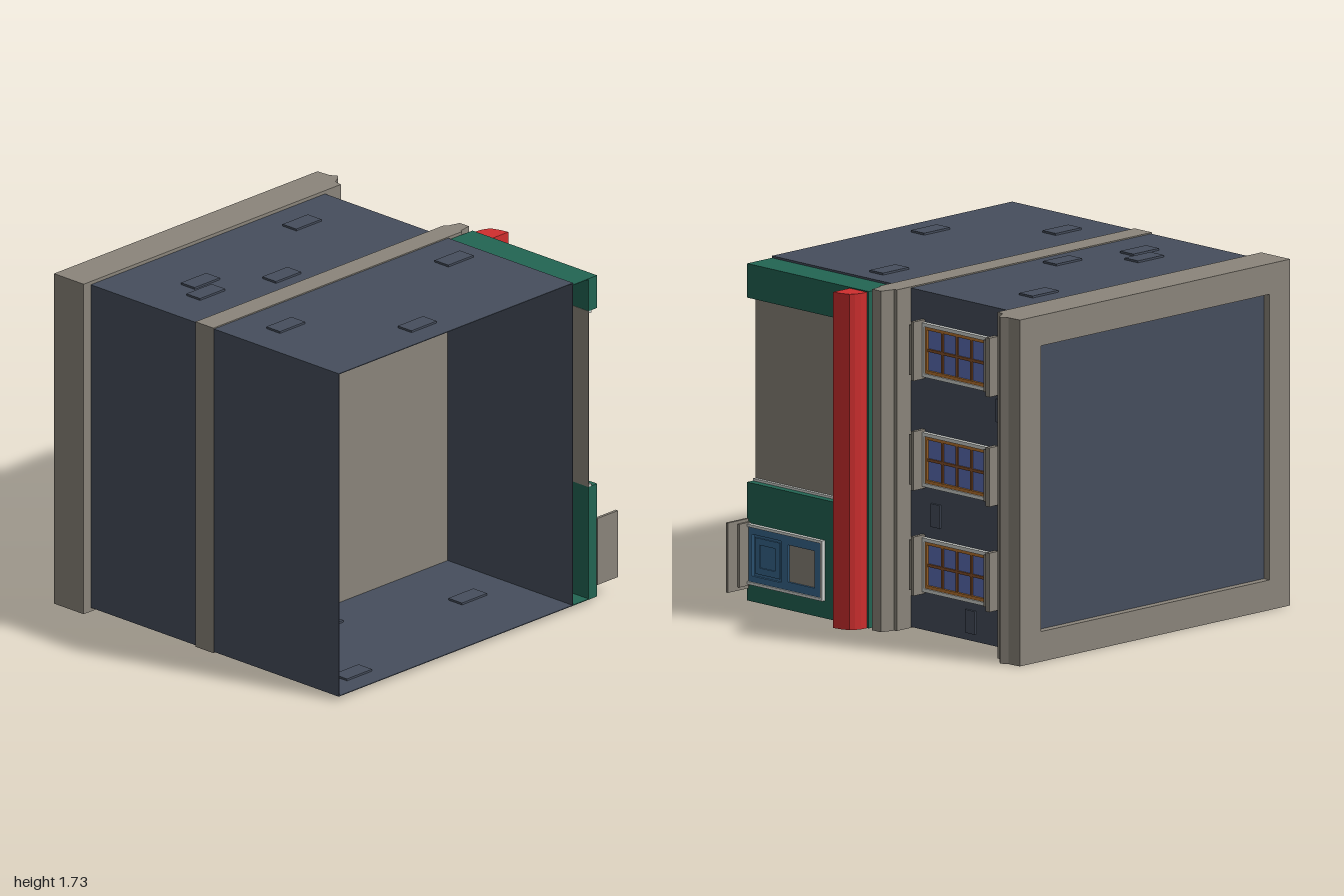
import * as THREE from 'three';

const mat = (name, color) => {
  const m = new THREE.MeshStandardMaterial({ color, side: THREE.DoubleSide });
  m.name = name;
  return m;
};

export function createModel() {
  const stone = mat('stone', 0x8b857b), slate = mat('slate', 0x464e5d), green = mat('shop green', 0x226553);
  const red = mat('awning red', 0xcf2e2e), white = mat('trim white', 0xd2d5d1), blue = mat('door blue', 0x38688f);
  const glass = mat('window glass', 0x5d70b8), orange = mat('window wood', 0xb8742e), brown = mat('glazing bar brown', 0x85502a);

  const model = new THREE.Group();
  model.name = 'cornerBuilding';
  const add = (parent, name, geometry, material) => {
    const mesh = new THREE.Mesh(geometry, material);
    mesh.name = name;
    parent.add(mesh);
    return mesh;
  };
  const group = (name) => {
    const g = new THREE.Group();
    g.name = name;
    model.add(g);
    return g;
  };
  // Box given by its limits on each axis
  const box = (parent, name, material, [x0, x1], [y0, y1], [z0, z1]) =>
    add(parent, name, new THREE.BoxGeometry(x1 - x0, y1 - y0, z1 - z0)
      .translate((x0 + x1) / 2, (y0 + y1) / 2, (z0 + z1) / 2), material);
  // Outline in x and z, drawn out along y
  const prism = (parent, name, material, points, [y0, y1]) => {
    const shape = new THREE.Shape(points.map(([x, z]) => new THREE.Vector2(x, -z)));
    return add(parent, name, new THREE.ExtrudeGeometry(shape, { depth: y1 - y0, bevelEnabled: false })
      .rotateX(-Math.PI / 2).translate(0, y0, 0), material);
  };
  const rect = (Type, [y0, y1], [z0, z1]) => new Type([
    new THREE.Vector2(-z1, y0), new THREE.Vector2(-z0, y0),
    new THREE.Vector2(-z0, y1), new THREE.Vector2(-z1, y1)]);
  // Plate facing +x with rectangular holes
  const plate = (parent, name, material, [x0, x1], y, z, holes) => {
    const shape = rect(THREE.Shape, y, z);
    holes.forEach(([hy, hz]) => shape.holes.push(rect(THREE.Path, hy, hz)));
    return add(parent, name, new THREE.ExtrudeGeometry(shape, { depth: x1 - x0, bevelEnabled: false })
      .rotateY(Math.PI / 2).translate(x0, 0, 0), material);
  };
  const inset = ([a, b], d) => [a + d, b - d];

  // Hollow body, open at +z
  const body = group('body');
  const depth = [-0.9, 0.93], t = 0.004;
  box(body, 'topWall', slate, [-0.95, 0.69], [1.71 - t, 1.71], depth);
  box(body, 'bottomWall', slate, [-0.95, 0.69], [0.02, 0.02 + t], depth);
  box(body, 'plainWall', slate, [-0.95, -0.95 + t], [0.02, 1.71], depth);
  box(body, 'facadeWall', slate, [0.69 - t, 0.69], [0.02, 1.71], depth);

  // Loose bricks standing out of the walls, by centre
  const bricks = group('bricks');
  [[0.333, -0.552], [-0.557, -0.38], [-0.642, -0.262], [-0.227, -0.15],
    [-0.682, 0.315], [0.507, 0.305], [-0.232, 0.768]].forEach(([x, z]) =>
    box(bricks, 'topBrick', slate, [x - 0.088, x + 0.088], [1.698, 1.72], [z - 0.046, z + 0.046]));
  [[0.47, -0.56], [-0.33, 0.235], [0.405, 0.495], [-0.693, 0.777]].forEach(([x, z]) =>
    box(bricks, 'bottomBrick', slate, [x - 0.088, x + 0.088], [0.01, 0.034], [z - 0.046, z + 0.046]));
  [[1.2, -0.658], [0.603, -0.207], [0.115, -0.447]].forEach(([y, z]) =>
    box(bricks, 'facadeBrick', slate, [0.68, 0.7], [y - 0.058, y + 0.058], [z - 0.032, z + 0.032]));

  // Floor band with a moulded front
  prism(model, 'floorBand', stone, [[-0.955, 0.09], [0.785, 0.09], [0.79, 0.078], [0.86, 0.065],
    [0.86, 0.005], [0.79, -0.015], [0.785, -0.03], [-0.955, -0.03]], [0.015, 1.716]);

  // Cornice around a sunken roof
  const cornice = group('cornice');
  const roofEdge = [-0.94, -0.74];
  prism(cornice, 'corniceMoulding', stone, [[0.7, -0.74], [0.8, -0.74], [0.81, -0.785], [0.855, -0.81],
    [0.872, -0.83], [0.85, -0.865], [0.845, -0.94], [0.7, -0.94]], [0, 1.727]);
  box(cornice, 'plainParapet', stone, [-1, -0.86], [0, 1.727], roofEdge);
  box(cornice, 'topParapet', stone, [-0.86, 0.7], [1.575, 1.727], roofEdge);
  box(cornice, 'bottomParapet', stone, [-0.86, 0.7], [0, 0.15], roofEdge);
  box(cornice, 'roof', slate, [-0.86, 0.7], [0.15, 1.575], [-0.9, -0.89]);

  // Shop front, open at +z
  const shop = group('shopFront');
  const shopZ = [0.09, 0.93];
  box(shop, 'topFascia', green, [0.8, 0.86], [1.53, 1.7], shopZ);
  box(shop, 'bottomFascia', green, [0.8, 0.86], [0.02, 0.61], shopZ);
  box(shop, 'upperFascia', green, [0.8, 0.86], [0.61, 1.53], [0.09, 0.27]);
  box(shop, 'topCover', green, [0.69, 0.8], [1.7 - t, 1.7], shopZ);
  box(shop, 'bottomCover', green, [0.69, 0.8], [0.02, 0.02 + t], shopZ);
  box(shop, 'shopCeiling', green, [0.69, 0.8], [0.02, 1.7], [0.091, 0.1]);
  box(shop, 'displayWindow', stone, [0.798, 0.803], [0.61, 1.53], [0.27, 0.93]);
  box(shop, 'displayFrameSide', white, [0.795, 0.82], [0.61, 1.53], [0.268, 0.282]);
  for (const y of [0.61, 1.518]) box(shop, 'displayFrameBar', white, [0.803, 0.82], [y, y + 0.012], [0.282, 0.93]);

  // Rolled awning
  prism(shop, 'awning', red, [[0.86, 0.1], [0.9, 0.103], [0.93, 0.113], [0.952, 0.128],
    [0.968, 0.175], [0.976, 0.22], [0.86, 0.22]], [0.02, 1.695]);

  // Door, with a sunken panel and a small window
  const door = group('door');
  const dy = [0.122, 0.395], dz = [0.405, 0.915];
  const panelY = [0.152, 0.36], panelZ = [0.68, 0.88], lightY = [0.163, 0.348], lightZ = [0.45, 0.633];
  plate(door, 'doorFrame', white, [0.86, 0.882], [0.108, 0.409], [0.39, 0.92], [[dy, dz]]);
  plate(door, 'doorLeaf', blue, [0.86, 0.874], dy, dz, [[panelY, panelZ], [lightY, lightZ]]);
  box(door, 'doorPanel', blue, [0.858, 0.863], panelY, panelZ);
  plate(door, 'panelRaise', blue, [0.863, 0.87], inset(panelY, 0.014), inset(panelZ, 0.014),
    [[inset(panelY, 0.047), inset(panelZ, 0.045)]]);
  box(door, 'doorWindow', stone, [0.858, 0.864], lightY, lightZ);
  box(door, 'lowerStep', stone, [0.855, 1], [0.082, 0.43], [0.92, 0.935]);
  box(door, 'upperStep', stone, [0.855, 0.935], [0.1, 0.415], [0.907, 0.92]);

  // Three identical windows
  for (const y of [0.35, 0.875, 1.422]) {
    const win = group('window');
    const span = (h) => [y - h, y + h];
    plate(win, 'outerFrame', white, [0.69, 0.712], span(0.135), [-0.58, -0.128], [[span(0.117), [-0.565, -0.143]]]);
    plate(win, 'sash', orange, [0.69, 0.705], span(0.117), [-0.565, -0.143], [[span(0.101), [-0.555, -0.157]]]);
    box(win, 'panes', glass, [0.688, 0.694], span(0.101), [-0.555, -0.157]);
    for (const z of [-0.256, -0.355, -0.455]) box(win, 'uprightBar', brown, [0.69, 0.701], span(0.101), [z - 0.007, z + 0.007]);
    box(win, 'crossBar', brown, [0.69, 0.702], span(0.007), [-0.555, -0.157]);
    box(win, 'sillTop', stone, [0.69, 0.768], span(0.147), [-0.128, -0.108]);
    box(win, 'sillBase', stone, [0.69, 0.756], span(0.125), [-0.108, -0.082]);
    box(win, 'lintelBase', stone, [0.69, 0.738], span(0.13), [-0.607, -0.58]);
    box(win, 'lintelTop', stone, [0.69, 0.75], span(0.147), [-0.632, -0.607]);
  }
  return model;
}
